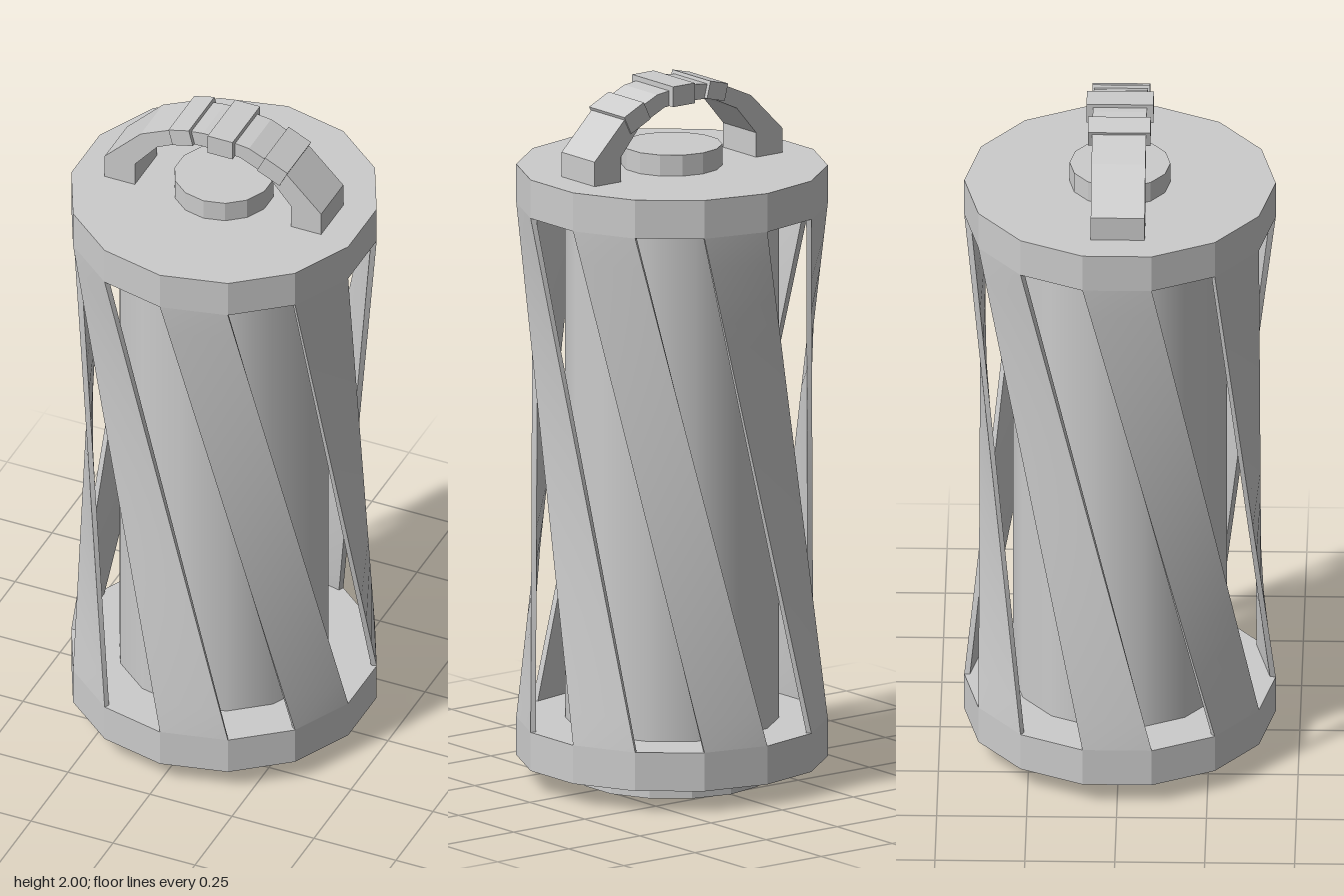
import * as THREE from 'three';

const SIDES = 14, STEP = (Math.PI * 2) / SIDES;
const R = 0.433, WALL = 0.016;
const LOW = 0.17, HIGH = 1.64;

const smooth = new THREE.MeshStandardMaterial({ color: 0xcccccc });
const flat = new THREE.MeshStandardMaterial({ color: 0xcccccc, flatShading: true });

function add(parent, name, geometry, material) {
  const mesh = new THREE.Mesh(geometry, material);
  mesh.name = name;
  parent.add(mesh);
  return mesh;
}

// Upright prism between two heights
function drum(parent, name, radius, y0, y1, material = flat) {
  const mesh = add(parent, name, new THREE.CylinderGeometry(radius, radius, y1 - y0, SIDES), material);
  mesh.position.y = (y0 + y1) / 2;
  return mesh;
}

// Twisted slat: straight edges joining a rim segment to one two steps further round
function slatGeometry(rows = 16) {
  const corner = (step, radius, y) =>
    new THREE.Vector3(Math.sin(step * STEP) * radius, y, Math.cos(step * STEP) * radius);
  const edge = (step, radius) => (t) =>
    corner(step + 2, radius, LOW).lerp(corner(step, radius, HIGH), t);
  // Section corners, anticlockwise seen from above
  const edges = [edge(0, R), edge(1, R), edge(1, R - WALL), edge(0, R - WALL)];
  const positions = [], indices = [];
  for (let side = 0; side < 4; side++) {
    const base = positions.length / 3;
    for (let i = 0; i <= rows; i++) {
      positions.push(...edges[side](i / rows).toArray(), ...edges[(side + 1) % 4](i / rows).toArray());
      if (i === rows) continue;
      const a = base + i * 2;
      indices.push(a, a + 1, a + 3, a, a + 3, a + 2);
    }
  }
  const geometry = new THREE.BufferGeometry();
  geometry.setAttribute('position', new THREE.Float32BufferAttribute(positions, 3));
  geometry.setIndex(indices);
  geometry.computeVertexNormals();
  return geometry;
}

// Arched carrying strap with three wrapped bands
function createHandle() {
  const handle = new THREE.Group();
  handle.name = 'handle';
  const outer = [[0.33, 1.74], [0.33, 1.82], [0.22, 1.93], [0.11, 1.98], [0.03, 1.99]];
  const inner = [[0.04, 1.945], [0.085, 1.94], [0.17, 1.9], [0.238, 1.82], [0.238, 1.74]];
  const mirror = (points) => points.map(([x, y]) => [-x, y]).reverse();
  const outline = [...outer, ...mirror(outer), ...mirror(inner), ...inner];
  const shape = new THREE.Shape(outline.map(([x, y]) => new THREE.Vector2(x, y)));
  const strap = new THREE.ExtrudeGeometry(shape, { depth: 0.15, bevelEnabled: false });
  strap.translate(0, 0, -0.075);
  add(handle, 'strap', strap, flat);

  // x, y, tilt, length, thickness, width
  const bands = [
    [-0.093, 1.963, 0.25, 0.064, 0.05, 0.174],
    [0.03, 1.971, 0, 0.076, 0.058, 0.186],
    [0.183, 1.925, -0.45, 0.076, 0.056, 0.16],
  ];
  for (const [x, y, tilt, length, thickness, width] of bands) {
    const band = add(handle, 'handleBand', new THREE.BoxGeometry(length, thickness, width), flat);
    band.position.set(x, y, 0);
    band.rotation.z = tilt;
  }
  return handle;
}

export function createModel() {
  const model = new THREE.Group();
  model.name = 'cagedCanister';

  // Base, end caps, inner core and top button
  drum(model, 'base', 0.267, 0, 0.07);
  drum(model, 'bottomCap', R, 0.06, LOW);
  drum(model, 'topCap', R, HIGH, 1.75);
  drum(model, 'core', 0.297, 0.1, 1.7, smooth);
  drum(model, 'topButton', 0.14, 1.74, 1.81);

  // Seven spiral slats around the core
  const slats = new THREE.Group();
  slats.name = 'cage';
  const geometry = slatGeometry();
  for (let i = 0; i < SIDES / 2; i++) {
    add(slats, 'slat', geometry, smooth).rotation.y = i * 2 * STEP;
  }
  model.add(slats, createHandle());
  return model;
}
